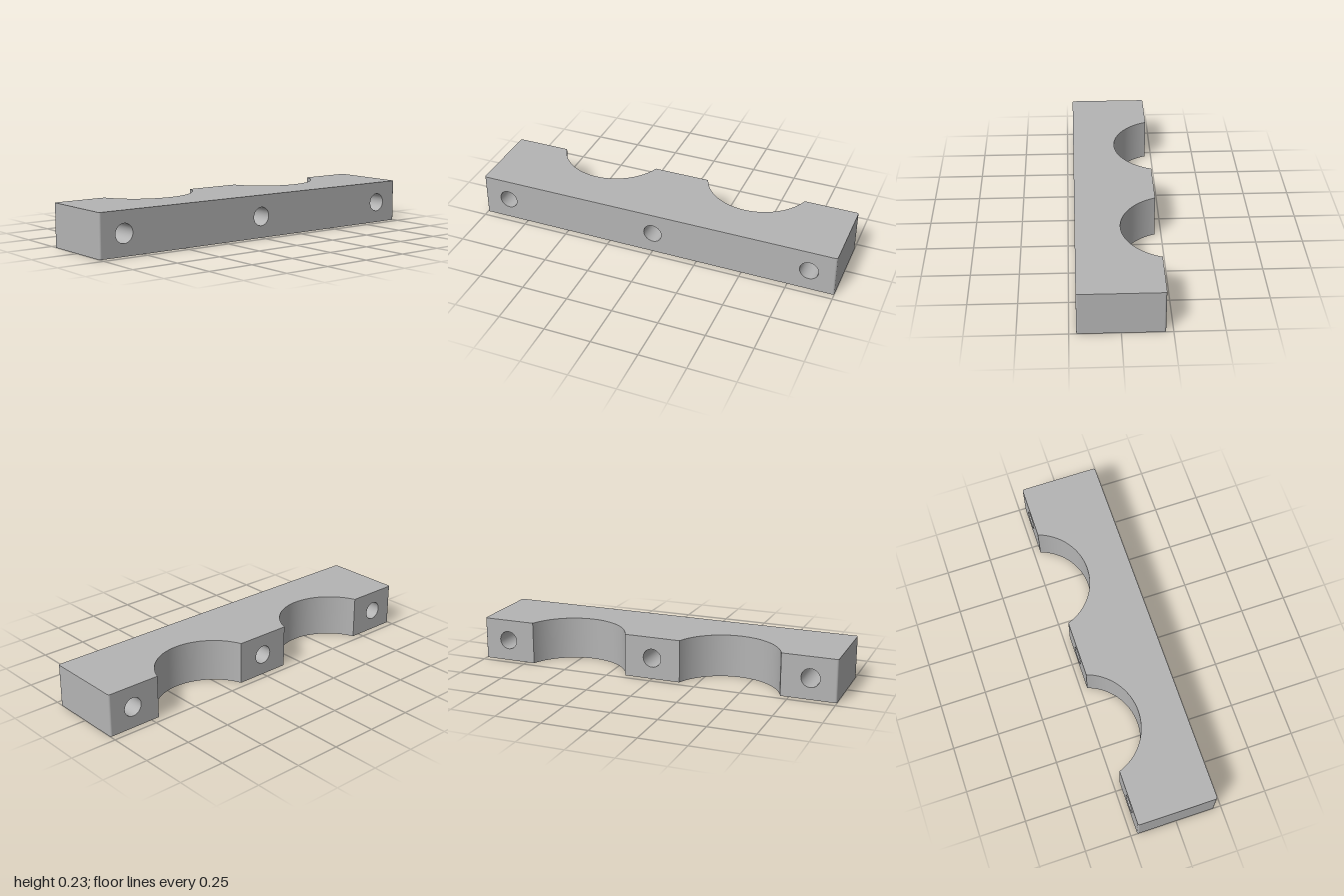
import * as THREE from 'three';

const H = 0.23;        // height
const D = 0.214;       // half depth
const R = 0.01;        // rounding of the upright corners
const HOLE_R = 0.05;
const HOLES = [-0.86, 0, 0.86];

// Recess circle, from its opening half width and its depth
const RX = 0.43, HALF = 0.275, SAG = 0.196;
const RR = (HALF * HALF + SAG * SAG) / (2 * SAG);
const RZ = -D + SAG - RR;
const RA = Math.asin(HALF / RR);

// Upright curved walls in order round the outline: angle from +z towards +x
const Q = Math.PI / 2;
const ARCS = [
  { name: 'frontLeftCorner', x: 1 - R, z: D - R, r: R, from: 0, to: Q, n: 6 },
  { name: 'backLeftCorner', x: 1 - R, z: R - D, r: R, from: Q, to: 2 * Q, n: 6 },
  { name: 'leftRecess', x: RX, z: RZ, r: RR, from: RA, to: -RA, n: 48 },
  { name: 'rightRecess', x: -RX, z: RZ, r: RR, from: RA, to: -RA, n: 48 },
  { name: 'backRightCorner', x: R - 1, z: R - D, r: R, from: 2 * Q, to: 3 * Q, n: 6 },
  { name: 'frontRightCorner', x: R - 1, z: D - R, r: R, from: 3 * Q, to: 4 * Q, n: 6 },
];

// Flat upright wall between x0 and x1, with its bolt holes
function wallGeometry(x0, x1) {
  const s = new THREE.Shape();
  s.moveTo(x0, 0).lineTo(x1, 0).lineTo(x1, H).lineTo(x0, H).closePath();
  for (const x of HOLES) {
    if (x > x0 && x < x1) s.holes.push(new THREE.Path().absarc(x, H / 2, HOLE_R, 0, Math.PI * 2, true));
  }
  return new THREE.ShapeGeometry(s, 20);
}

// Top or bottom face following the whole outline
function capGeometry(up) {
  const pts = [];
  for (const a of ARCS) {
    for (let i = 0; i <= a.n; i++) {
      const t = a.from + (a.to - a.from) * i / a.n;
      const z = a.z + a.r * Math.cos(t);
      pts.push(new THREE.Vector2(a.x + a.r * Math.sin(t), up ? -z : z));
    }
  }
  const g = new THREE.ShapeGeometry(new THREE.Shape(pts));
  return g.rotateX(up ? -Q : Q).translate(0, up ? H : 0, 0);
}

export function createModel() {
  const group = new THREE.Group();
  group.name = 'clampBlock';
  const metal = new THREE.MeshStandardMaterial({ color: 0xb4b4b4, side: THREE.DoubleSide });
  metal.name = 'grey metal';
  const add = (name, geometry) => {
    const m = new THREE.Mesh(geometry, metal);
    m.name = name;
    group.add(m);
  };

  add('topFace', capGeometry(true));
  add('bottomFace', capGeometry(false));

  // Front wall and the three pads at the back
  add('frontWall', wallGeometry(R - 1, 1 - R).translate(0, 0, D));
  const pads = [[R - 1, -RX - HALF], [HALF - RX, RX - HALF], [RX + HALF, 1 - R]];
  for (const [x0, x1] of pads) {
    add('backPad', wallGeometry(-x1, -x0).rotateY(Math.PI).translate(0, 0, -D));
  }

  // End walls
  for (const s of [-1, 1]) {
    add(s > 0 ? 'leftEnd' : 'rightEnd',
      new THREE.PlaneGeometry(2 * (D - R), H).rotateY(s * Q).translate(s, H / 2, 0));
  }

  // Rounded corners and recess walls
  for (const a of ARCS) {
    add(a.name, new THREE.CylinderGeometry(a.r, a.r, H, a.n, 1, true,
      Math.min(a.from, a.to), Math.abs(a.to - a.from)).translate(a.x, H / 2, a.z));
  }

  // Bores of the bolt holes
  for (const x of HOLES) {
    add('boltHole', new THREE.CylinderGeometry(HOLE_R, HOLE_R, 2 * D, 40, 1, true)
      .rotateX(Q).translate(x, H / 2, 0));
  }
  return group;
}
